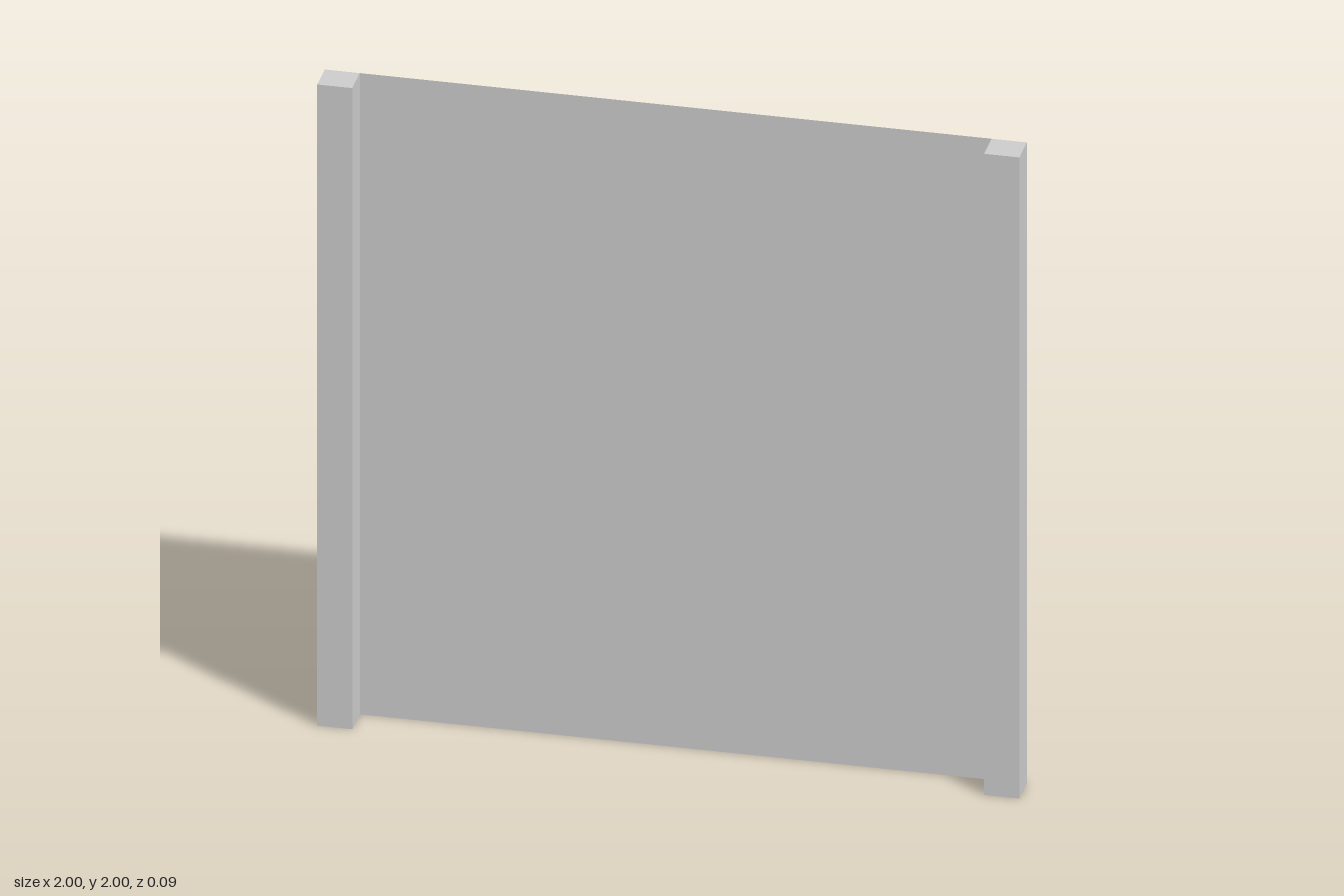
import * as THREE from 'three';

const HEIGHT = 2;
const POST_WIDTH = 0.1;
const DEPTH = 0.094;

export function createModel() {
  const model = new THREE.Group();
  model.name = 'panelWithPosts';
  const material = new THREE.MeshStandardMaterial({
    color: 0xcccccc, flatShading: true, side: THREE.DoubleSide,
  });

  // Hollow post: a box whose last side (the back, -z) is left open
  const postGeometry = new THREE.BoxGeometry(POST_WIDTH, HEIGHT, DEPTH);
  postGeometry.setIndex(Array.from(postGeometry.index.array).slice(0, 30));
  postGeometry.clearGroups();

  for (const [name, side] of [['leftPost', 1], ['rightPost', -1]]) {
    const post = new THREE.Mesh(postGeometry, material);
    post.name = name;
    post.position.set(side * (1 - POST_WIDTH / 2), HEIGHT / 2, 0);
    model.add(post);
  }

  // Thin sheet between the posts, flush with their open backs
  const panel = new THREE.Mesh(new THREE.PlaneGeometry(2 - 2 * POST_WIDTH, HEIGHT), material);
  panel.name = 'panel';
  panel.position.set(0, HEIGHT / 2, -DEPTH / 2);
  model.add(panel);

  return model;
}
